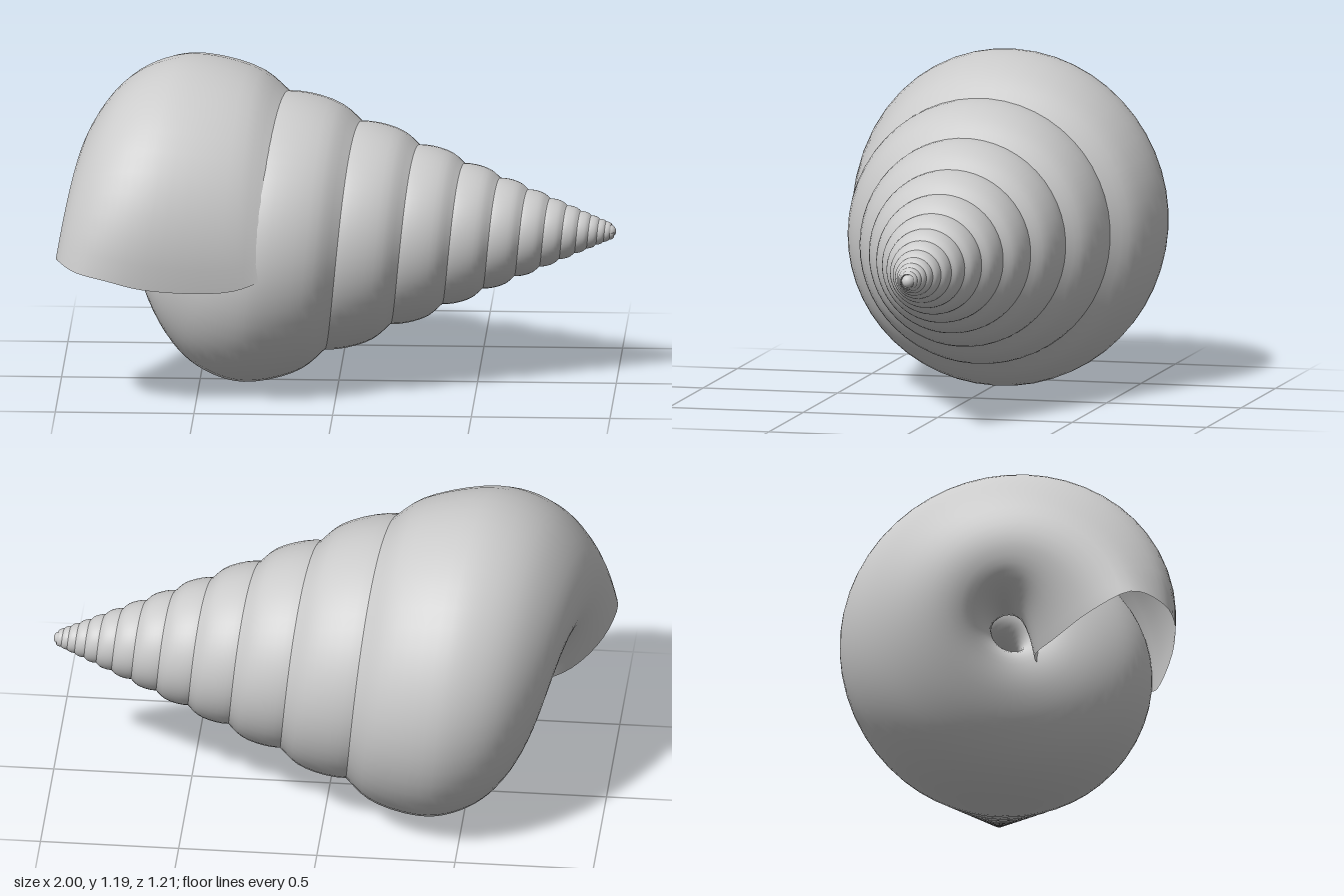
import * as THREE from 'three';

const V = (a) => new THREE.Vector3(...a);

// Whorl cross-section: distance from the apex along the axis, radius from the axis
const whorl = [
  [0.785, 0.308, 0], [0.862, 0.372, 0], [1, 0.405, 0], [1.09, 0.385, 0], [1.165, 0.335, 0],
  [1.228, 0.245, 0], [1.255, 0.15, 0], [1.24, 0.08, 0], [1.16, 0.04, 0], [1.04, 0.06, 0],
  [0.965, 0.16, 0], [0.89, 0.26, 0], [0.785, 0.3, 0],
];
// Mouth rim in model units: distance, radius, vertical droop
const lip = [
  [1.28, 0.52, -0.055], [1.42, 0.55, -0.1], [1.72, 0.6, -0.085], [1.87, 0.6, -0.05], [1.98, 0.56, -0.03],
  [2.05, 0.45, -0.01], [2.01, 0.3, -0.07], [1.9, 0.17, -0.13], [1.78, 0.1, -0.14], [1.68, 0.12, -0.13],
  [1.63, 0.24, -0.11], [1.54, 0.36, -0.1], [1.28, 0.5, -0.06],
];

const APEX = 1.05, AXIS_Y = 0.563, AXIS_Z = -0.012;
const GROWTH = 1 / 0.785; // growth per turn
const TURNS = 13, STEPS = 52, SIDES = 52;
const sizeAt = (t) => 1.57 * Math.pow(GROWTH, t + 0.25);

function sampleSection(points, scale) {
  const curve = new THREE.CatmullRomCurve3(points.map((p) => V(p).multiplyScalar(scale)));
  return Array.from({ length: SIDES + 1 }, (_, j) => curve.getPoint(j / SIDES));
}

// Sweep the section along a growing helix, easing into the flared mouth rim
function spiralGeometry() {
  const a = sampleSection(whorl, 1);
  const b = sampleSection(lip, 1 / sizeAt(0));
  const pos = [], index = [];
  const rings = TURNS * STEPS;
  for (let i = 0; i <= rings; i++) {
    const t = i / STEPS - TURNS;
    const angle = -t * Math.PI * 2;
    const size = sizeAt(t);
    const s = Math.max(0, 1 + t / 0.6);
    const along = s ** 3, across = s ** 6;
    for (let j = 0; j <= SIDES; j++) {
      const u = THREE.MathUtils.lerp(a[j].x, b[j].x, along) * size;
      const r = THREE.MathUtils.lerp(a[j].y, b[j].y, across) * size;
      pos.push(
        APEX - u,
        AXIS_Y + r * Math.sin(angle) + b[j].z * across * size,
        AXIS_Z + r * Math.cos(angle),
      );
      if (i < rings && j < SIDES) {
        const p = i * (SIDES + 1) + j, q = p + SIDES + 1;
        index.push(p, p + 1, q, p + 1, q + 1, q);
      }
    }
  }
  const g = new THREE.BufferGeometry();
  g.setAttribute('position', new THREE.Float32BufferAttribute(pos, 3));
  g.setIndex(index);
  g.computeVertexNormals();
  return g;
}

export function createModel() {
  const group = new THREE.Group();
  group.name = 'spiralShell';
  const material = new THREE.MeshStandardMaterial({ color: 0xcccccc, side: THREE.DoubleSide });

  const whorls = new THREE.Mesh(spiralGeometry(), material);
  whorls.name = 'whorls';
  group.add(whorls);

  // Rounded tip closing the first whorl
  const tip = new THREE.Mesh(new THREE.SphereGeometry(0.024, 24, 16), material);
  tip.name = 'apexTip';
  tip.position.set(0.975, AXIS_Y, AXIS_Z);
  group.add(tip);

  return group;
}
